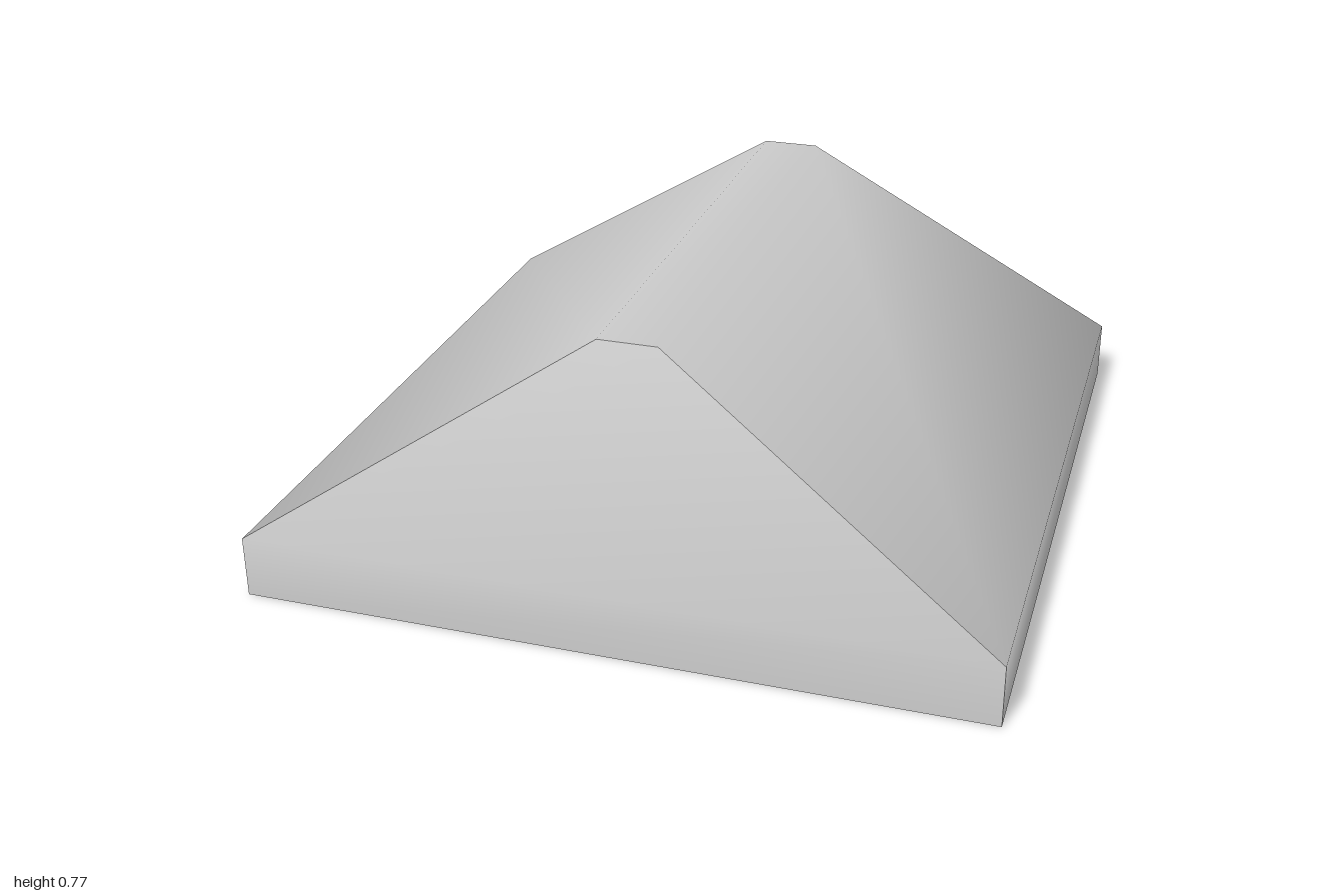
import * as THREE from 'three';
import { toCreasedNormals } from 'three/addons/utils/BufferGeometryUtils.js';

const HEIGHT = 0.77;      // ridge height
const EAVE = 0.17;        // top of the vertical skirt
const RIDGE_X = 0.08;     // half width of the flat ridge
const RIDGE_Z = 0.78;     // half length of the flat ridge

export function createModel() {
  const group = new THREE.Group();
  group.name = 'hippedRoof';

  // Box with one middle ring: the ring becomes the eave, the top shrinks to the ridge
  const box = new THREE.BoxGeometry(2, 2, 2, 1, 2, 1);
  const pos = box.attributes.position;
  for (let i = 0; i < pos.count; i++) {
    const y = pos.getY(i);
    if (y > 0.5) {
      pos.setXYZ(i, pos.getX(i) * RIDGE_X, HEIGHT, pos.getZ(i) * RIDGE_Z);
    } else {
      pos.setY(i, y > -0.5 ? EAVE : 0);
    }
  }

  // Slopes, skirt and ridge blend smoothly; ends and base stay sharp
  const roof = new THREE.Mesh(
    toCreasedNormals(box, THREE.MathUtils.degToRad(62)),
    new THREE.MeshStandardMaterial({ color: 0xcccccc })
  );
  roof.name = 'roof';
  group.add(roof);
  return group;
}
